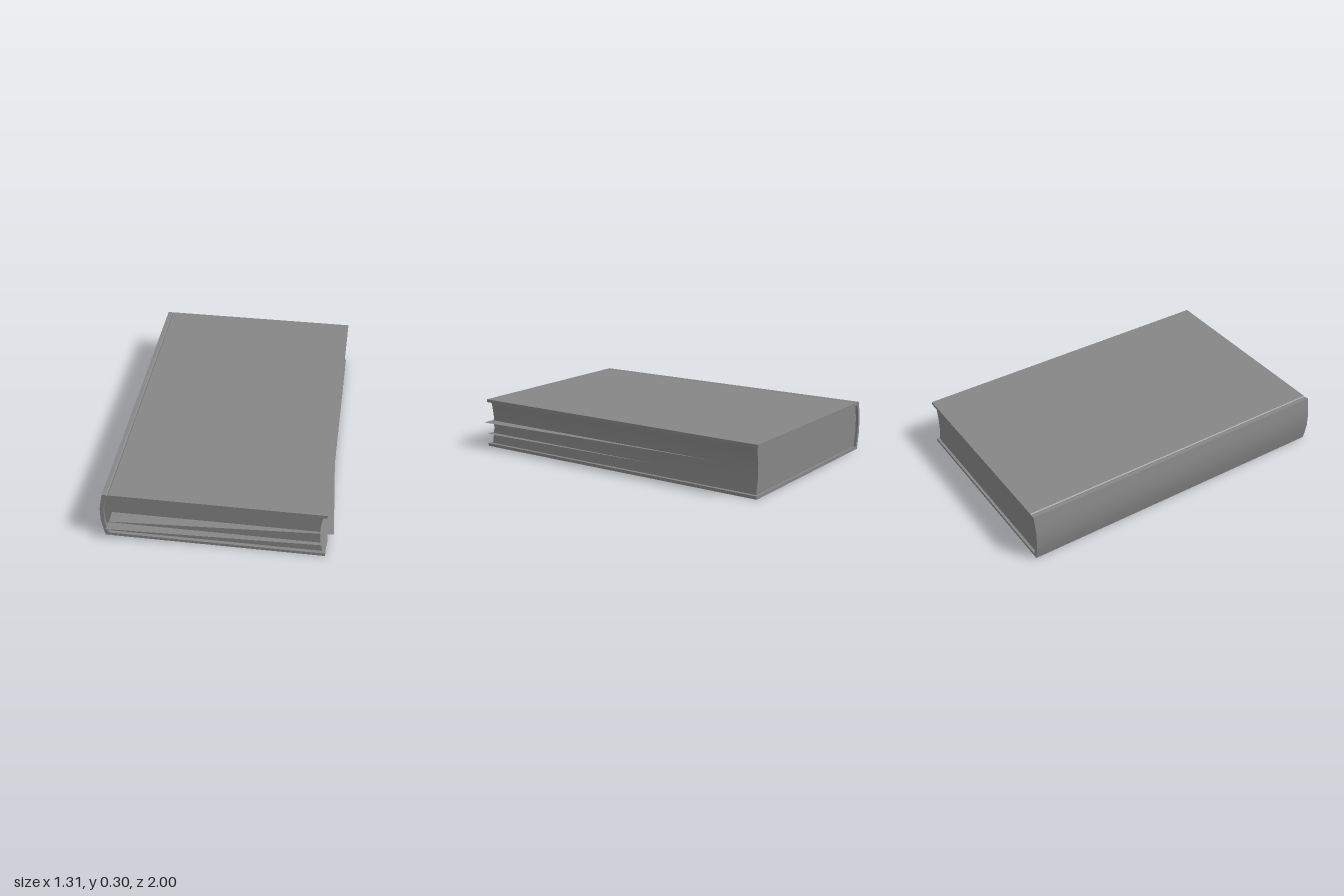
import * as THREE from 'three';
import { toCreasedNormals } from 'three/addons/utils/BufferGeometryUtils.js';

const H = 0.3; // closed thickness of the book
const mat = new THREE.MeshStandardMaterial({ color: 0x868686 });
const sheetMat = new THREE.MeshStandardMaterial({ color: 0x868686, side: THREE.DoubleSide });

// Completes a lower half profile with its mirror image about mid height
const mirrored = (pts) => [...pts, ...pts.slice().reverse().map(([x, y]) => [x, H - y])];

// Extrudes an x/y outline between two z positions, smoothing the gentle curves
function prism(name, pts, z0, z1) {
  const shape = new THREE.Shape(pts.map(([x, y]) => new THREE.Vector2(x, y)));
  const geo = new THREE.ExtrudeGeometry(shape, { depth: z1 - z0, bevelEnabled: false });
  geo.translate(0, 0, z0);
  const mesh = new THREE.Mesh(toCreasedNormals(geo, 0.25), mat);
  mesh.name = name;
  return mesh;
}

// Thin loose sheet lying at height y, outlined by its corners in x/z
function sheet(name, y, corners) {
  const shape = new THREE.Shape(corners.map(([x, z]) => new THREE.Vector2(x, -z)));
  const geo = new THREE.ShapeGeometry(shape);
  geo.rotateX(-Math.PI / 2);
  geo.translate(0, y, 0);
  const mesh = new THREE.Mesh(geo, sheetMat);
  mesh.name = name;
  return mesh;
}

export function createModel() {
  const book = new THREE.Group();
  book.name = 'book';

  // Rounded inside of the spine, shared by the case and the page block
  const spineSide = mirrored([[-0.615, 0.018], [-0.625, 0.06], [-0.634, 0.11]]);

  // Hard case: two boards, fine hinge grooves and the rounded spine in one C-shaped profile
  const outer = mirrored([
    [0.615, 0], [-0.598, 0], [-0.605, 0.004], [-0.612, 0],
    [-0.635, 0], [-0.645, 0.05], [-0.655, 0.108],
  ]);
  const boardEdge = [[0.615, H - 0.018], ...spineSide.slice().reverse(), [0.615, 0.018]];
  book.add(prism('cover', [...outer, ...boardEdge], -1, 0.94));

  // Page block: rounded at the spine, hollowed at the fore edge
  const foreEdge = mirrored([[0.596, 0.018], [0.588, 0.06], [0.58, 0.11]]);
  book.add(prism('pageBlock', [...foreEdge, ...spineSide.slice().reverse()], -0.985, 0.92));

  // Two loose sheets slipping out at the front
  book.add(sheet('upperLooseSheet', 0.16, [
    [-0.59, 1], [0.655, 0.93], [0.615, 0.25], [0.578, -0.75], [-0.6, -0.75],
  ]));
  book.add(sheet('lowerLooseSheet', 0.08, [[-0.62, 0.978], [0.622, 0.94], [0.582, -0.4], [-0.6, -0.4]]));
  return book;
}
